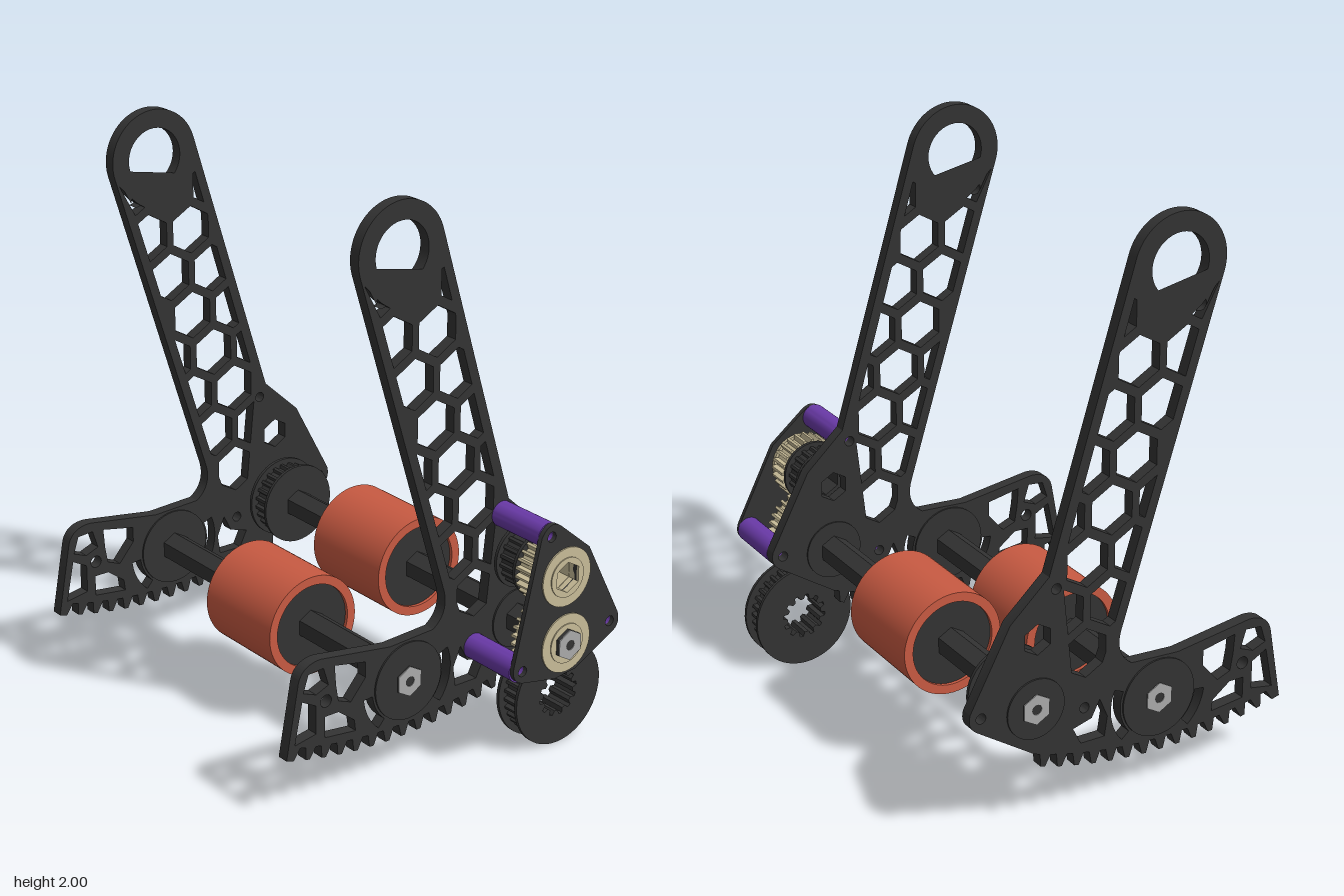
import * as THREE from 'three';
import { toCreasedNormals } from 'three/addons/utils/BufferGeometryUtils.js';

const mat = (color) => new THREE.MeshStandardMaterial({ color });
const dark = mat(0x333333), orange = mat(0xc85a42), purple = mat(0x6a3aa8);
const tan = mat(0xc8bc98), steel = mat(0xaaaaaa);

// All profiles are drawn as [z, y] points.
const ring = (z, y, r, n = 40, turn = 0) => Array.from({ length: n }, (_, i) => {
  const a = turn + (i / n) * Math.PI * 2;
  return [z + r * Math.cos(a), y + r * Math.sin(a)];
});
const toothed = (z, y, r, root, n) => {
  const pts = [];
  for (let i = 0; i < n; i++) {
    [[0, root], [0.4, root], [0.55, r], [0.85, r]].forEach(([f, rad]) => {
      const a = ((i + f) / n) * Math.PI * 2;
      pts.push([z + rad * Math.cos(a), y + rad * Math.sin(a)]);
    });
  }
  return pts;
};
const hexHole = (z, y, r = 0.054) => ring(z, y, r, 6, Math.PI / 6);
const vec = (pts) => pts.map(([a, b]) => new THREE.Vector2(a, b));

// Extrudes a [z, y] profile along x from x0 to x1.
function slab(parent, name, material, outline, holes, x0, x1) {
  const shape = outline instanceof THREE.Shape ? outline : new THREE.Shape(vec(outline));
  shape.holes = holes.map((h) => new THREE.Path(vec(h)));
  const geo = new THREE.ExtrudeGeometry(shape, { depth: x1 - x0, bevelEnabled: false, curveSegments: 24 });
  geo.rotateY(-Math.PI / 2).translate(x1, 0, 0);
  const mesh = new THREE.Mesh(toCreasedNormals(geo, 0.5), material);
  mesh.name = name;
  parent.add(mesh);
  return mesh;
}

const PIVOT = [0.165, 1.83];
const FRONT = [0.125, 0.365], REAR = [-0.342, 0.455], UPPER = [-0.335, 0.695];
const STANDOFFS = [[-0.268, 0.853], [-0.54, 0.475], [-0.158, 0.405]];

// Clips a polygon to a convex counter-clockwise region.
function clip(poly, region) {
  region.forEach((a, i) => {
    const b = region[(i + 1) % region.length];
    const side = (p) => (b[0] - a[0]) * (p[1] - a[1]) - (b[1] - a[1]) * (p[0] - a[0]);
    const out = [];
    poly.forEach((p, j) => {
      const q = poly[(j + 1) % poly.length], sp = side(p), sq = side(q);
      if (sp >= 0) out.push(p);
      if (sp * sq < 0) {
        const t = sp / (sp - sq);
        out.push([p[0] + (q[0] - p[0]) * t, p[1] + (q[1] - p[1]) * t]);
      }
    });
    poly = out;
  });
  return poly;
}

// Honeycomb windows of the long arm, kept clear of the top ring.
function honeycomb() {
  const region = [[0.03, 1.86], [-0.25, 0.92], [-0.2, 0.47], [-0.11, 0.5], [-0.057, 0.65], [0.29, 1.77]];
  const cells = [];
  for (let row = -4; row <= 11; row++) {
    for (let col = -4; col <= 4; col++) {
      const z = 0.021 + (col + (row & 1) / 2) * 0.176, y = 1.231 - row * 0.158;
      if (Math.hypot(z - PIVOT[0], y - PIVOT[1]) < 0.15) continue;
      let cell = clip(ring(z, y, 0.086, 6, Math.PI / 6), region);
      if (cell.length < 3 || Math.abs(THREE.ShapeUtils.area(vec(cell))) < 0.0018) continue;
      cell = cell.map(([pz, py]) => {
        const dz = pz - PIVOT[0], dy = py - PIVOT[1], k = Math.max(1, 0.165 / Math.hypot(dz, dy));
        return [PIVOT[0] + dz * k, PIVOT[1] + dy * k];
      });
      cells.push(cell);
    }
  }
  return cells;
}

// Curved window around the front bearing.
function arcSlot(a0, a1, r0 = 0.146, r1 = 0.182, n = 10) {
  const pts = [];
  for (let i = 0; i <= 2 * n + 1; i++) {
    const inner = i > n, t = inner ? (2 * n + 1 - i) / n : i / n;
    const a = a0 + (a1 - a0) * t, r = inner ? r0 : r1;
    pts.push([FRONT[0] + r * Math.cos(a), FRONT[1] + r * Math.sin(a)]);
  }
  return pts;
}

function sidePlate(parent, name, x0, x1) {
  const s = new THREE.Shape();
  s.absarc(PIVOT[0], PIVOT[1], 0.17, -0.3, Math.PI - 0.3);
  s.lineTo(-0.295, 0.9);
  s.lineTo(-0.435, 0.77);
  s.lineTo(-0.578, 0.5);
  s.quadraticCurveTo(-0.592, 0.455, -0.555, 0.43);
  // rack teeth on an arc about the top ring
  const teeth = 15, a0 = -0.32, a1 = 0.274, pitch = (a1 - a0) / teeth;
  for (let i = 0; i < teeth; i++) {
    [[0, 1.62], [0.35, 1.62], [0.6, 1.663], [0.85, 1.663]].forEach(([f, r]) => {
      const a = a0 + (i + f) * pitch;
      s.lineTo(PIVOT[0] + r * Math.sin(a), PIVOT[1] - r * Math.cos(a));
    });
  }
  s.lineTo(0.618, 0.23);
  s.lineTo(0.57, 0.49);
  s.quadraticCurveTo(0.555, 0.55, 0.48, 0.55);
  s.lineTo(0.2, 0.508);
  s.lineTo(0.02, 0.517);
  s.quadraticCurveTo(-0.045, 0.56, -0.025, 0.64);
  const holes = [
    ring(...PIVOT, 0.105), ring(0.243, 1.69, 0.022, 16), hexHole(...UPPER),
    ring(0.46, 0.395, 0.022, 16), ...STANDOFFS.map(([z, y]) => ring(z, y, 0.018, 16)),
    // windows of the front foot
    [[0.55, 0.45], [0.53, 0.51], [0.47, 0.515], [0.45, 0.45], [0.5, 0.43]],
    [[0.425, 0.51], [0.3, 0.485], [0.3, 0.43], [0.36, 0.36], [0.41, 0.38], [0.42, 0.44]],
    [[0.555, 0.42], [0.5, 0.39], [0.5, 0.29], [0.585, 0.275]],
    [[0.465, 0.34], [0.41, 0.34], [0.345, 0.29], [0.34, 0.25], [0.465, 0.265]],
    arcSlot(-2.45 + Math.PI * 1.5, -1.3 + Math.PI * 1.5 + 0.35).map(([z, y]) => [z, 2 * FRONT[1] - y])
      .map(([z, y]) => [z, y]).filter(() => false),
    arcSlot(-0.85, -0.1), arcSlot(2.75, 3.85),
    [[-0.08, 0.28], [-0.17, 0.28], [-0.2, 0.34], [-0.13, 0.36], [-0.1, 0.42], [-0.07, 0.35]],
  ].filter((h) => h.length);
  slab(parent, name, dark, s, [...holes, ...honeycomb()], x0, x1);
  slab(parent, 'frontBearing', dark, ring(...FRONT, 0.138), [], x0 - 0.006, x1 + 0.006);
  slab(parent, 'rearBearing', dark, ring(...REAR, 0.105), [], x0 - 0.006, x1 + 0.006);
}

function hexShaft(parent, name, [z, y], x0, x1) {
  slab(parent, name, dark, hexHole(z, y), [], x0, x1);
  [[x0 - 0.003, x0], [x1, x1 + 0.003]].forEach(([a, b]) =>
    slab(parent, 'shaftEnd', steel, hexHole(z, y), [ring(z, y, 0.018, 16)], a, b));
}

function roller(parent, name, [z, y]) {
  const g = new THREE.Group();
  g.name = name;
  slab(g, 'rollerSleeve', orange, ring(z, y, 0.182, 64), [ring(z, y, 0.15, 48)], -0.315, 0.052);
  slab(g, 'rollerHub', dark, ring(z, y, 0.15, 48), [], -0.303, 0.04);
  parent.add(g);
}

// Toothed belt pulley with a flange on each side.
function pulley(parent, name, [z, y], r, teeth, hole, x0, x1) {
  const g = new THREE.Group();
  g.name = name;
  slab(g, 'pulleyTeeth', dark, toothed(z, y, r * 0.88, r * 0.8, teeth), [hole], x0 + 0.012, x1 - 0.012);
  [[x0, x0 + 0.012], [x1 - 0.012, x1]].forEach(([a, b]) =>
    slab(g, 'pulleyFlange', dark, ring(z, y, r, 48), [hole], a, b));
  parent.add(g);
}

export function createModel() {
  const model = new THREE.Group();
  model.name = 'rollerIntake';

  sidePlate(model, 'rightSidePlate', -0.825, -0.782);
  sidePlate(model, 'leftSidePlate', 0.52, 0.562);

  // shafts and rollers
  hexShaft(model, 'frontShaft', FRONT, -0.832, 0.572);
  hexShaft(model, 'rearShaft', REAR, -0.832, 0.827);
  roller(model, 'frontRoller', FRONT);
  roller(model, 'rearRoller', REAR);

  // belt pulleys
  const DRIVE = [-0.435, 0.19];
  pulley(model, 'rearShaftPulley', REAR, 0.148, 24, hexHole(...REAR), -0.75, -0.65);
  pulley(model, 'upperPulley', UPPER, 0.113, 18, hexHole(...UPPER), 0.58, 0.682);
  pulley(model, 'drivePulley', DRIVE, 0.187, 32, toothed(...DRIVE, 0.083, 0.066, 12), 0.58, 0.682);

  // spur gears
  slab(model, 'upperGear', tan, toothed(...UPPER, 0.117, 0.098, 24), [hexHole(...UPPER)], 0.688, 0.768);
  slab(model, 'lowerGear', tan, toothed(...REAR, 0.135, 0.116, 28), [hexHole(...REAR)], 0.688, 0.768);

  // gearbox cover with rounded corners, bearings and spacers
  const cover = new THREE.Shape();
  cover.moveTo(-0.225, 0.86);
  cover.quadraticCurveTo(-0.26, 0.92, -0.31, 0.88);
  cover.lineTo(-0.435, 0.775);
  cover.lineTo(-0.575, 0.5);
  cover.quadraticCurveTo(-0.592, 0.45, -0.55, 0.43);
  cover.lineTo(-0.39, 0.345);
  cover.lineTo(-0.3, 0.335);
  cover.lineTo(-0.17, 0.36);
  cover.quadraticCurveTo(-0.115, 0.37, -0.118, 0.42);
  const screws = STANDOFFS.map(([z, y]) => ring(z, y, 0.018, 16));
  slab(model, 'gearboxCover', dark, cover, [...screws, hexHole(...UPPER)], 0.788, 0.805);
  [UPPER, REAR].forEach((c) => {
    slab(model, 'bearingFlange', tan, ring(...c, 0.104), [hexHole(...c)], 0.775, 0.81);
    slab(model, 'bearingRace', tan, ring(...c, 0.07), [hexHole(...c)], 0.77, 0.814);
  });
  STANDOFFS.forEach(([z, y]) =>
    slab(model, 'spacer', purple, ring(z, y, 0.044, 32), [ring(z, y, 0.018, 16)], 0.562, 0.788));

  return model;
}
